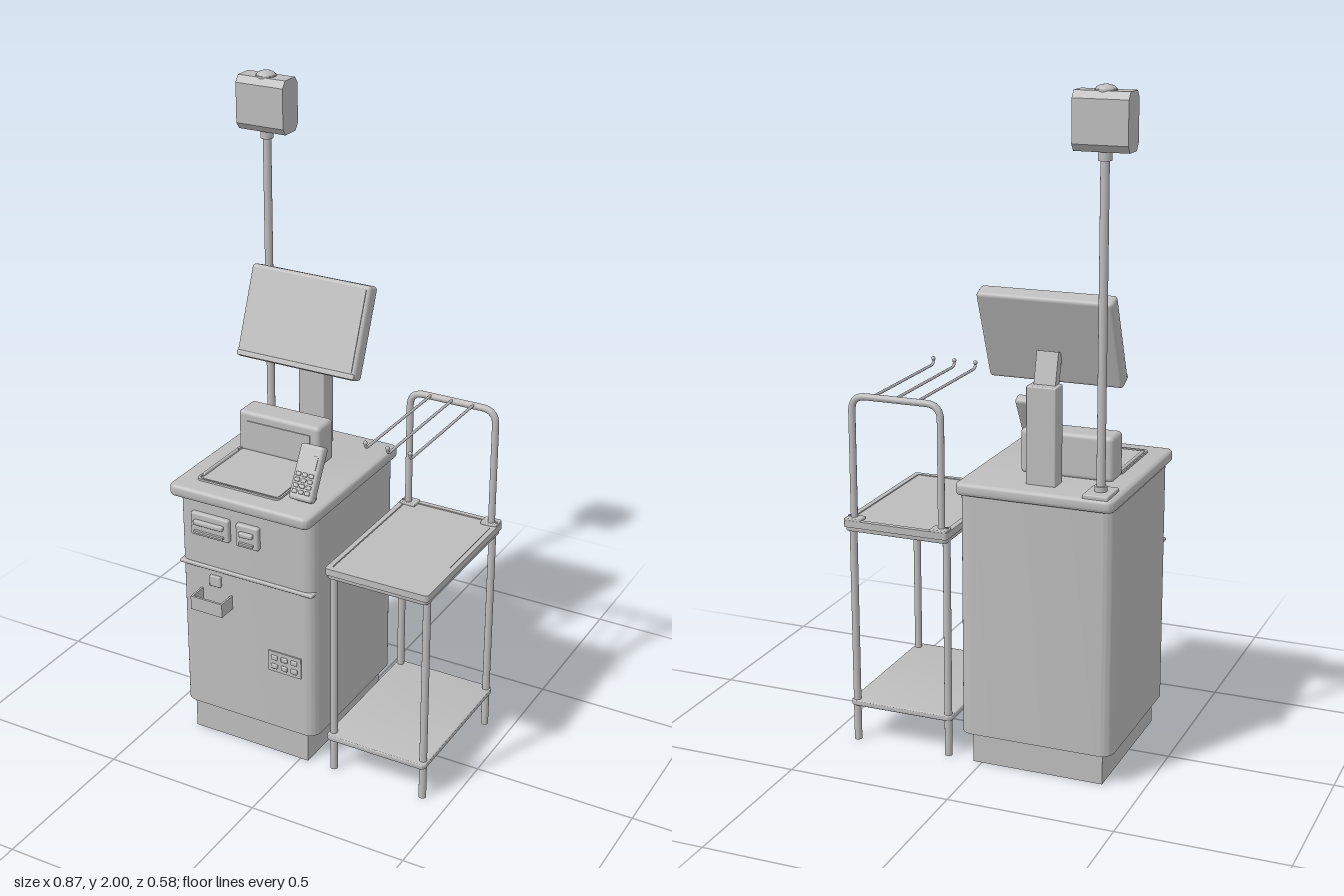
import * as THREE from 'three';
import { toCreasedNormals } from 'three/addons/utils/BufferGeometryUtils.js';
import { RoundedBoxGeometry } from 'three/addons/geometries/RoundedBoxGeometry.js';

const grey = new THREE.MeshStandardMaterial({ color: 0xbcbcbc });
grey.name = 'light grey';

function add(parent, name, geometry, x = 0, y = 0, z = 0) {
  const mesh = new THREE.Mesh(geometry, grey);
  mesh.name = name;
  mesh.position.set(x, y, z);
  parent.add(mesh);
  return mesh;
}

// Box given by its limits; r > 0 rounds the edges
function box(parent, name, x0, x1, y0, y1, z0, z1, r = 0) {
  const s = [x1 - x0, y1 - y0, z1 - z0];
  const g = r ? new RoundedBoxGeometry(...s, 3, r) : new THREE.BoxGeometry(...s);
  return add(parent, name, g, (x0 + x1) / 2, (y0 + y1) / 2, (z0 + z1) / 2);
}

function roundRect(S, x0, x1, y0, y1, r) {
  const s = new S();
  s.absarc(x1 - r, y1 - r, r, 0, Math.PI / 2);
  s.absarc(x0 + r, y1 - r, r, Math.PI / 2, Math.PI);
  s.absarc(x0 + r, y0 + r, r, Math.PI, Math.PI * 1.5);
  s.absarc(x1 - r, y0 + r, r, Math.PI * 1.5, Math.PI * 2);
  s.closePath();
  return s;
}

// Upright slab with rounded corners; an optional inset cuts a hole and leaves a rim
function slab(parent, name, x0, x1, y0, y1, z0, z1, r, bevel = 0, inset = 0) {
  const s = roundRect(THREE.Shape, x0 + bevel, x1 - bevel, -z1 + bevel, -z0 - bevel, r);
  if (inset) s.holes.push(roundRect(THREE.Path, x0 + inset, x1 - inset, -z1 + inset, -z0 - inset, r));
  const g = new THREE.ExtrudeGeometry(s, {
    depth: y1 - y0 - 2 * bevel, curveSegments: 8, bevelEnabled: bevel > 0,
    bevelSize: bevel, bevelThickness: bevel, bevelSegments: 3,
  });
  g.translate(0, 0, bevel).rotateX(-Math.PI / 2);
  return add(parent, name, toCreasedNormals(g, 0.6), 0, y0, 0);
}

function rod(parent, name, x, y0, y1, z, r) {
  return add(parent, name, new THREE.CylinderGeometry(r, r, y1 - y0, 20), x, (y0 + y1) / 2, z);
}

// Tube along straight runs, with rounded bends of radius b
function bentTube(parent, name, pts, b, r) {
  const v = pts.map(p => new THREE.Vector3(...p));
  const path = new THREE.CurvePath();
  let from = v[0];
  for (let i = 1; i < v.length - 1; i++) {
    const a = v[i].clone().add(v[i - 1].clone().sub(v[i]).setLength(b));
    const c = v[i].clone().add(v[i + 1].clone().sub(v[i]).setLength(b));
    path.add(new THREE.LineCurve3(from, a));
    path.add(new THREE.QuadraticBezierCurve3(a, v[i], c));
    from = c;
  }
  path.add(new THREE.LineCurve3(from, v[v.length - 1]));
  return add(parent, name, new THREE.TubeGeometry(path, 90, r, 12));
}

function group(parent, name, x = 0, y = 0, z = 0, tilt = 0) {
  const g = new THREE.Group();
  g.name = name;
  g.position.set(x, y, z);
  g.rotation.x = tilt;
  parent.add(g);
  return g;
}

function buildCabinet(root) {
  const c = group(root, 'cabinet');
  box(c, 'plinth', -0.377, 0.027, 0, 0.1, -0.247, 0.215);
  slab(c, 'cabinetBody', -0.41, 0.06, 0.1, 0.84, -0.275, 0.227, 0.04);
  slab(c, 'countertop', -0.411, 0.065, 0.837, 0.874, -0.29, 0.275, 0.012, 0.01);
  box(c, 'frontLedge', -0.405, 0.055, 0.592, 0.604, 0.18, 0.235, 0.004);

  // Receipt and coupon outlets
  for (const [x0, x1] of [[-0.357, -0.225], [-0.2, -0.123]]) {
    box(c, 'outletPanel', x0, x1, 0.705, 0.78, 0.215, 0.242, 0.006);
    box(c, 'outletHood', x0 + 0.015, x1 - 0.015, 0.745, 0.76, 0.235, 0.254, 0.004);
    box(c, 'outletLip', x0 + 0.015, x1 - 0.015, 0.717, 0.724, 0.235, 0.25);
  }

  // Open cash tray with a slot above it
  box(c, 'cashSlot', -0.3, -0.262, 0.54, 0.575, 0.22, 0.237, 0.003);
  box(c, 'trayFloor', -0.335, -0.225, 0.475, 0.481, 0.22, 0.288);
  box(c, 'trayFront', -0.335, -0.225, 0.475, 0.52, 0.281, 0.288);
  for (const x of [-0.335, -0.231]) box(c, 'traySide', x, x + 0.006, 0.475, 0.52, 0.22, 0.282);

  // Coin panel with two rows of buttons
  box(c, 'coinPanel', -0.1, 0.013, 0.3, 0.37, 0.22, 0.231);
  for (let i = 0; i < 6; i++) {
    const x = -0.078 + (i % 3) * 0.034, y = 0.32 + Math.floor(i / 3) * 0.03;
    box(c, 'coinButton', x - 0.011, x + 0.011, y - 0.008, y + 0.008, 0.229, 0.236, 0.003);
  }
}

function buildScanner(root) {
  const s = group(root, 'scanner');
  slab(s, 'scaleRim', -0.352, -0.068, 0.868, 0.88, -0.04, 0.211, 0.015, 0, 0.006);
  slab(s, 'scalePlate', -0.34, -0.078, 0.868, 0.878, -0.03, 0.199, 0.012);
  box(s, 'scaleGuard', -0.348, -0.338, 0.87, 0.886, -0.01, 0.182, 0.004);
  box(s, 'scannerTower', -0.352, -0.069, 0.87, 1.005, -0.118, -0.03, 0.014);
  box(s, 'scannerWindow', -0.32, -0.1, 0.9, 0.975, -0.032, -0.027);
}

function buildMonitor(root) {
  box(root, 'monitorStand', -0.217, -0.128, 0.87, 1.16, -0.222, -0.164, 0.004);
  const arm = box(root, 'monitorArm', -0.205, -0.14, 1.13, 1.25, -0.185, -0.155);
  arm.rotation.x = 0.25;
  const m = group(root, 'monitor', -0.175, 1.288, -0.14, -0.375);
  box(m, 'monitorCase', -0.202, 0.202, -0.141, 0.141, -0.027, 0.024, 0.011);
  box(m, 'screen', -0.19, 0.19, -0.118, 0.13, 0.022, 0.027);
  box(m, 'lowerBezel', -0.2, 0.2, -0.138, -0.122, 0.018, 0.028, 0.004);
}

function buildTerminal(root) {
  const t = group(root, 'cardTerminal', -0.001, 0.957, 0.155, -0.507);
  box(t, 'terminalBody', -0.039, 0.039, -0.083, 0.083, -0.018, 0.016, 0.01);
  box(t, 'terminalScreen', -0.029, 0.029, 0.012, 0.052, 0.014, 0.018);
  for (let i = 0; i < 12; i++) {
    const x = -0.021 + (i % 3) * 0.021, y = -0.007 - Math.floor(i / 3) * 0.017;
    box(t, 'terminalKey', x - 0.008, x + 0.008, y - 0.006, y + 0.006, 0.013, 0.021, 0.003);
  }
  box(root, 'terminalFoot', -0.025, 0.023, 0.87, 0.92, 0.15, 0.18);
}

function buildLanePole(root) {
  const p = group(root, 'lanePole'), x = -0.357, z = -0.234;
  box(p, 'poleFootPlate', x - 0.038, x + 0.038, 0.87, 0.885, z - 0.05, z + 0.048, 0.004);
  rod(p, 'poleFootCollar', x, 0.88, 0.9, z, 0.018);
  rod(p, 'pole', x, 0.87, 1.83, z, 0.0125);
  rod(p, 'poleTopCollar', x, 1.8, 1.83, z, 0.019);
  // Lamp box with chamfered front and back edges
  const side = new THREE.Shape([[-0.028, 0], [0.028, 0], [0.043, 0.02], [0.043, 0.14], [0.028, 0.16], [-0.028, 0.16],
    [-0.043, 0.14], [-0.043, 0.02]].map(q => new THREE.Vector2(...q)));
  const g = new THREE.ExtrudeGeometry(side, { depth: 0.158, bevelEnabled: false });
  g.translate(0, 0, -0.079).rotateY(Math.PI / 2);
  add(p, 'lampBox', g, x + 0.001, 1.825, z);
  rod(p, 'beaconRing', x, 1.98, 1.988, z, 0.031);
  const dome = add(p, 'beaconDome', new THREE.SphereGeometry(0.029, 24, 10, 0, Math.PI * 2, 0, Math.PI / 2), x, 1.986, z);
  dome.scale.y = 0.5;
}

function buildBagRack(root) {
  const r = group(root, 'bagRack');
  const x0 = 0.098, x1 = 0.43;
  for (const x of [0.113, 0.414])
    for (const z of [-0.234, 0.205]) rod(r, 'rackLeg', x, 0, 0.69, z, 0.0115);
  slab(r, 'lowerShelf', x0, x1, 0.114, 0.131, -0.25, 0.232, 0.012, 0.003);

  // Upper shelf: tray, rim and rear brackets
  slab(r, 'upperShelf', x0 + 0.003, x1 - 0.003, 0.676, 0.7, -0.265, 0.233, 0.01, 0.004);
  slab(r, 'upperShelfRim', x0, x1, 0.69, 0.711, -0.271, 0.237, 0.01, 0, 0.016);
  slab(r, 'shelfPanel', x0 + 0.018, x1 - 0.018, 0.695, 0.709, -0.252, 0.219, 0.004);
  for (const s of [-1, 1]) {
    const x = 0.264 + s * 0.137;
    box(r, 'cornerBracket', x - 0.026, x + 0.026, 0.705, 0.717, -0.27, -0.228, 0.003);
    rod(r, 'bracketScrew', 0.264 + s * 0.157, 0.71, 0.72, -0.244, 0.004);
  }

  // Arch and three bag hooks
  bentTube(r, 'hookArch', [[0.124, 0.7, -0.244], [0.124, 1.085, -0.244], [0.405, 1.085, -0.244], [0.405, 0.7, -0.244]],
    0.045, 0.0105);
  for (const x of [0.194, 0.264, 0.334]) {
    bentTube(r, 'bagHook', [[x, 1.089, -0.246], [x, 1.089, 0.17], [x, 1.108, 0.173]], 0.013, 0.0042);
    add(r, 'hookTip', new THREE.SphereGeometry(0.0065, 12, 8), x, 1.107, 0.172);
  }
}

export function createModel() {
  const root = new THREE.Group();
  root.name = 'selfCheckout';
  for (const build of [buildCabinet, buildScanner, buildMonitor, buildTerminal, buildLanePole, buildBagRack]) build(root);
  return root;
}
